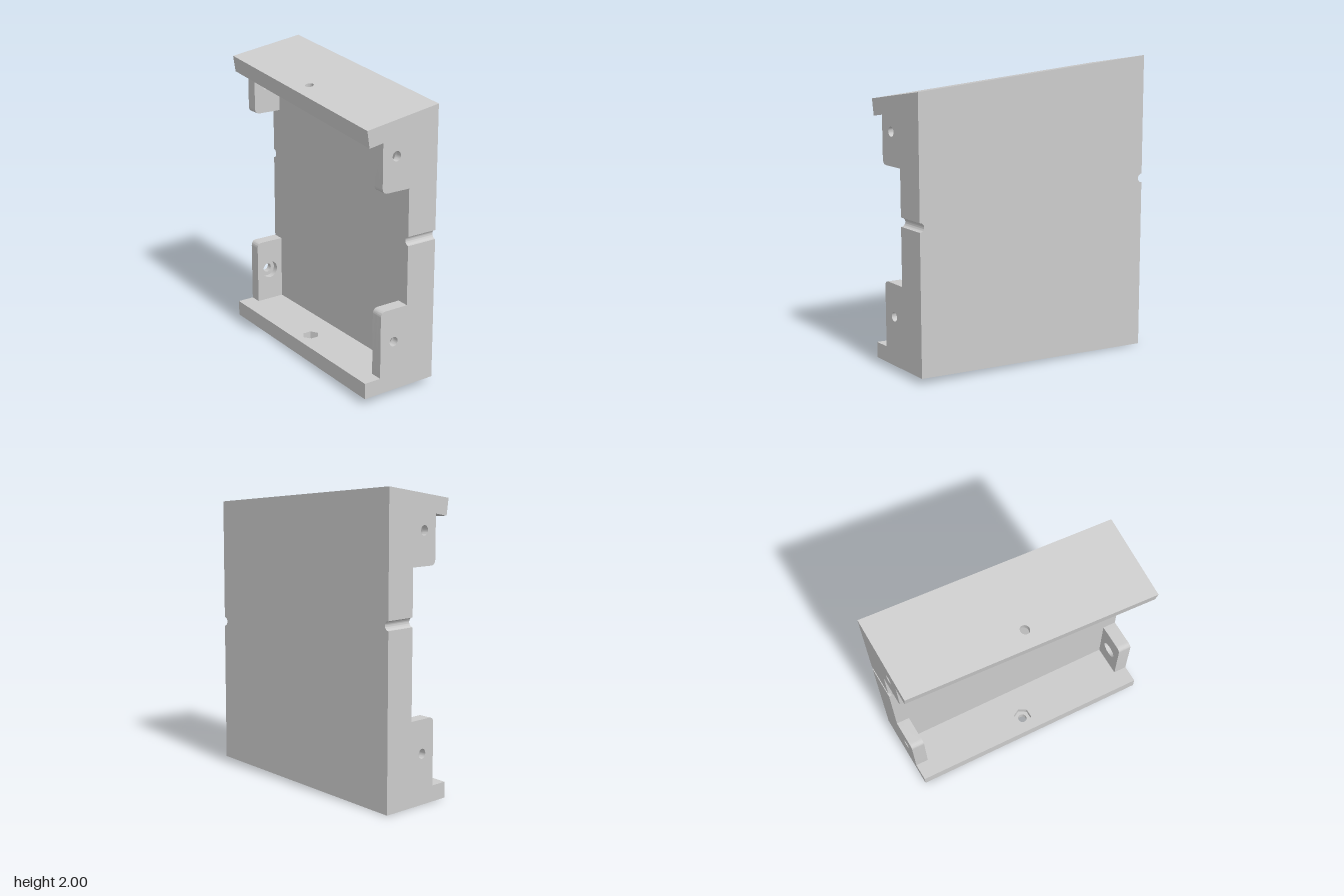
import * as THREE from 'three';
import { toCreasedNormals } from 'three/addons/utils/BufferGeometryUtils.js';

const D = 0.84;                       // half depth
const OUT = 0.272, IN = 0.052, LIP = -0.275; // x of outer wall, inner wall and lip at mid depth
const SLOPE = 0.157;                  // sideways slope of the roof
const floorY = z => 0.02 + 0.0238 * z;
const roofY = (x, z) => 1.9225 - 0.0923 * z - SLOPE * (OUT - x);

const material = new THREE.MeshStandardMaterial({ color: 0xcccccc });

// Move each vertex by a rule, then lean the whole part sideways with depth
function finish(geometry, name, rule) {
  const p = geometry.attributes.position;
  for (let i = 0; i < p.count; i++) {
    const [x, y, z] = rule(p.getX(i), p.getY(i), p.getZ(i));
    p.setXYZ(i, x - 0.0935 * z, y, z);
  }
  const mesh = new THREE.Mesh(toCreasedNormals(geometry, 0.6), material);
  mesh.name = name;
  return mesh;
}

const extrude = (shape, depth) =>
  new THREE.ExtrudeGeometry(shape, { depth, bevelEnabled: false, curveSegments: 12 });

// Round hole, or a polygon hole when sides is small
function hole(x, y, r, sides = 24) {
  const pts = [];
  for (let i = 0; i < sides; i++) {
    const a = -i / sides * Math.PI * 2;
    pts.push(new THREE.Vector2(x + r * Math.cos(a), y + r * Math.sin(a)));
  }
  return new THREE.Path(pts);
}

// Main wall: side outline with a half-round groove in the front and back edges
function wall() {
  const s = new THREE.Shape();
  s.moveTo(-D, floorY(-D));
  s.lineTo(D, floorY(D));
  s.lineTo(D, 0.98);
  s.absarc(D, 1.01, 0.03, -Math.PI / 2, Math.PI / 2, true);
  s.lineTo(D, roofY(OUT, D));
  s.lineTo(-D, roofY(OUT, -D));
  s.lineTo(-D, 1.2);
  s.absarc(-D, 1.17, 0.03, Math.PI / 2, -Math.PI / 2, true);
  s.closePath();
  const g = extrude(s, OUT - IN).rotateY(-Math.PI / 2).translate(OUT, 0, 0);
  return finish(g, 'mainWall', (x, y, z) => [x, y > 1.5 ? y - SLOPE * (OUT - x) : y, z]);
}

// One layer of a ledge, lying flat between heights y0 and y1
function ledgeLayer(y0, y1, r, sides) {
  const s = new THREE.Shape();
  s.moveTo(LIP, -D);
  s.lineTo(IN, -D);
  s.lineTo(IN, D);
  s.lineTo(LIP, D);
  s.closePath();
  s.holes.push(hole(-0.16, 0, r, sides));
  return extrude(s, y1 - y0).rotateX(-Math.PI / 2).translate(0, y0, 0);
}

// Corner tab: rounded plate with a screw hole, counterbored on the inner side
function tab(front, upper) {
  const group = new THREE.Group();
  group.name = (upper ? 'upper' : 'lower') + (front ? 'Front' : 'Back') + 'Tab';
  const x0 = -0.155, c = 0.04;
  const shift = front ? 0 : upper ? 0.155 : -0.04;
  for (const [inner, r] of [[false, 0.032], [true, 0.06]]) {
    const s = new THREE.Shape();
    if (upper) {
      s.moveTo(IN, 1.35);
      s.lineTo(IN, 1.715);
      s.lineTo(x0, 1.715);
      s.lineTo(x0, 1.35 + c);
      s.quadraticCurveTo(x0, 1.35, x0 + c, 1.35);
    } else {
      s.moveTo(x0, 0.12);
      s.lineTo(IN, 0.12);
      s.lineTo(IN, 0.59);
      s.lineTo(x0 + c, 0.59);
      s.quadraticCurveTo(x0, 0.59, x0, 0.59 - c);
    }
    s.closePath();
    s.holes.push(hole(-0.05, upper ? 1.57 : 0.37, r));
    const near = inner ? D - 0.09 : D - 0.045;
    const g = extrude(s, 0.045).translate(0, shift, front ? near : -near - 0.045);
    group.add(finish(g, inner ? 'counterbore' : 'tabPlate', (x, y, z) => [x, y, z]));
  }
  return group;
}

export function createModel() {
  const model = new THREE.Group();
  model.name = 'wallHousing';
  model.add(wall());

  // Floor ledge with a bolt hole below and a hexagonal nut pocket above
  const onFloor = (x, y, z) => [x, y + floorY(z), z];
  model.add(finish(ledgeLayer(0, 0.055, 0.03), 'floorLedge', onFloor));
  model.add(finish(ledgeLayer(0.055, 0.105, 0.06, 6), 'floorNutPocket', onFloor));

  // Sloping roof ledge, its lip square to the slope
  const onRoof = (x, y, z) => {
    const lean = x < IN - 0.01 ? -y * SLOPE : 0;
    return [x + lean, y + roofY(x + lean * 0.3, z), z];
  };
  model.add(finish(ledgeLayer(-0.055, 0, 0.03), 'roofLedge', onRoof));
  model.add(finish(ledgeLayer(-0.11, -0.055, 0.06, 6), 'roofNutPocket', onRoof));

  for (const front of [true, false])
    for (const upper of [true, false]) model.add(tab(front, upper));
  return model;
}
